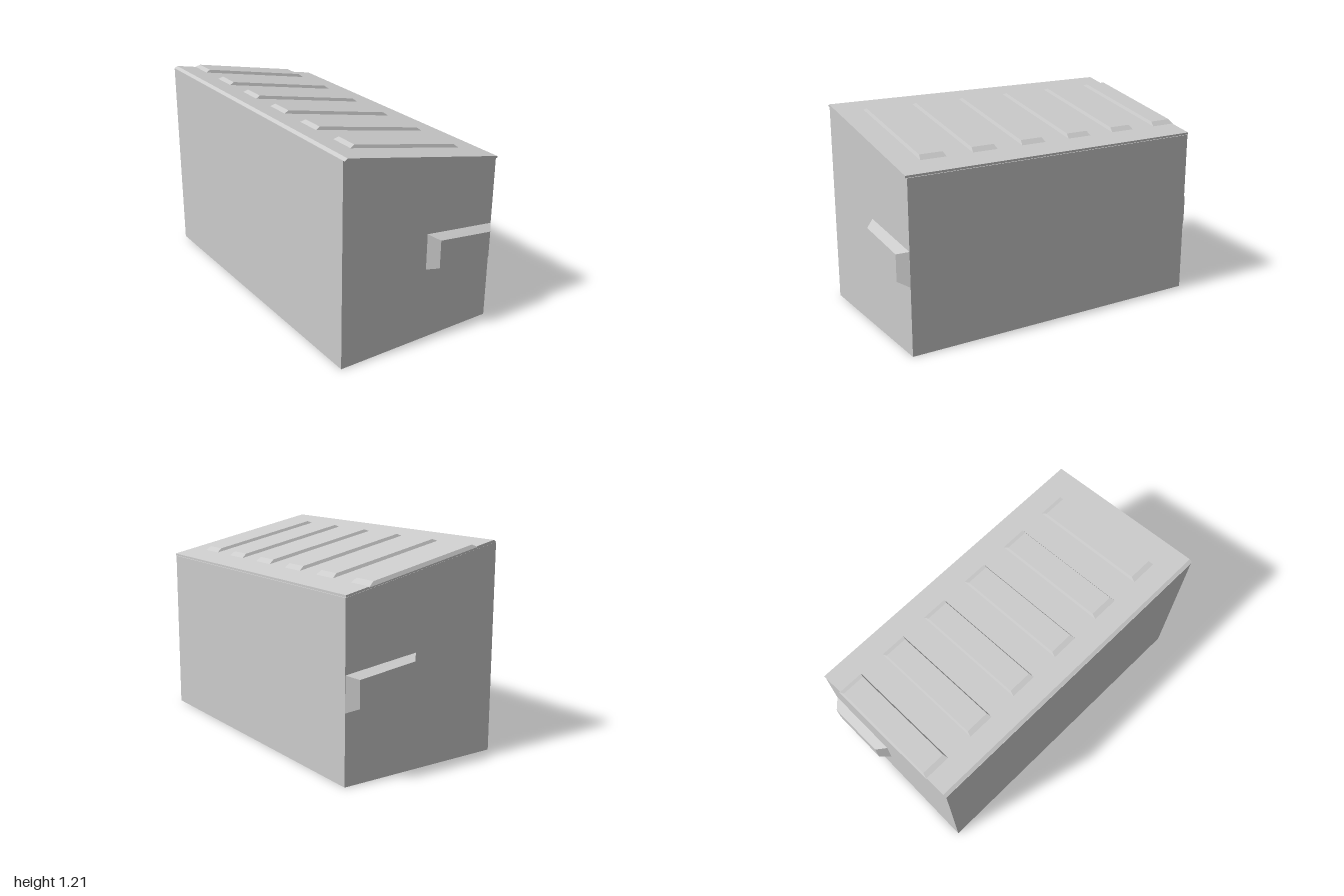
import * as THREE from 'three';

const material = new THREE.MeshStandardMaterial({ color: 0xcccccc, flatShading: true });

// Solid between two quads; both run counter-clockwise as seen from the "end" side.
function loft(name, start, end) {
  const p = [...start, ...end];
  const quads = [[3, 2, 1, 0], [4, 5, 6, 7]];
  for (let i = 0; i < 4; i++) {
    const j = (i + 1) % 4;
    quads.push([i, j, j + 4, i + 4]);
  }
  const positions = [];
  for (const [a, b, c, d] of quads) {
    for (const k of [a, b, c, a, c, d]) positions.push(...p[k]);
  }
  const geometry = new THREE.BufferGeometry();
  geometry.setAttribute('position', new THREE.Float32BufferAttribute(positions, 3));
  geometry.computeVertexNormals();
  const mesh = new THREE.Mesh(geometry, material);
  mesh.name = name;
  return mesh;
}

// Solid whose x-y outline is swept from z0 to z1.
function prism(name, outline, z0, z1) {
  return loft(name, outline.map(([x, y]) => [x, y, z0]), outline.map(([x, y]) => [x, y, z1]));
}

// Height of the sloping lid surface
const lidY = (x) => 1.106 - 0.207 * x;

// Horizontal rectangle projected onto the lid, raised by h
const onLid = (x, z0, z1, h) =>
  [[-x, z1], [x, z1], [x, z0], [-x, z0]].map(([px, pz]) => [px, lidY(px) + h, pz]);

export function createModel() {
  const group = new THREE.Group();
  group.name = 'slopedBin';

  // Body with a sloping top
  group.add(prism('body', [[-0.51, 0], [0.505, 0], [0.505, 0.988], [-0.51, 1.195]], -0.945, 0.945));

  // Thin lid lying on the slope
  group.add(prism('lid', [[-0.508, 1.196], [0.505, 0.99], [0.505, 1.002], [-0.49, 1.208]], -0.948, 0.955));

  // Six raised ribs across the lid
  const ribs = new THREE.Group();
  ribs.name = 'lidRibs';
  for (let i = 0; i < 6; i++) {
    const z = 0.718 - i * 0.318;
    ribs.add(loft('lidRib', onLid(0.367, z - 0.08, z + 0.08, -0.003), onLid(0.332, z - 0.07, z + 0.07, 0.018)));
  }
  group.add(ribs);

  // Tapered lifting pockets on both ends
  const base = [[0.045, 0.434], [0.505, 0.396], [0.505, 0.595], [0.045, 0.65]];
  const face = [[0.096, 0.452], [0.453, 0.424], [0.453, 0.576], [0.096, 0.62]];
  for (const side of [1, -1]) {
    const place = (quad, z) => {
      const points = quad.map(([x, y]) => [x, y, side * z]);
      return side > 0 ? points : points.reverse();
    };
    group.add(loft(side > 0 ? 'frontPocket' : 'backPocket', place(base, 0.944), place(face, 1)));
  }
  return group;
}
